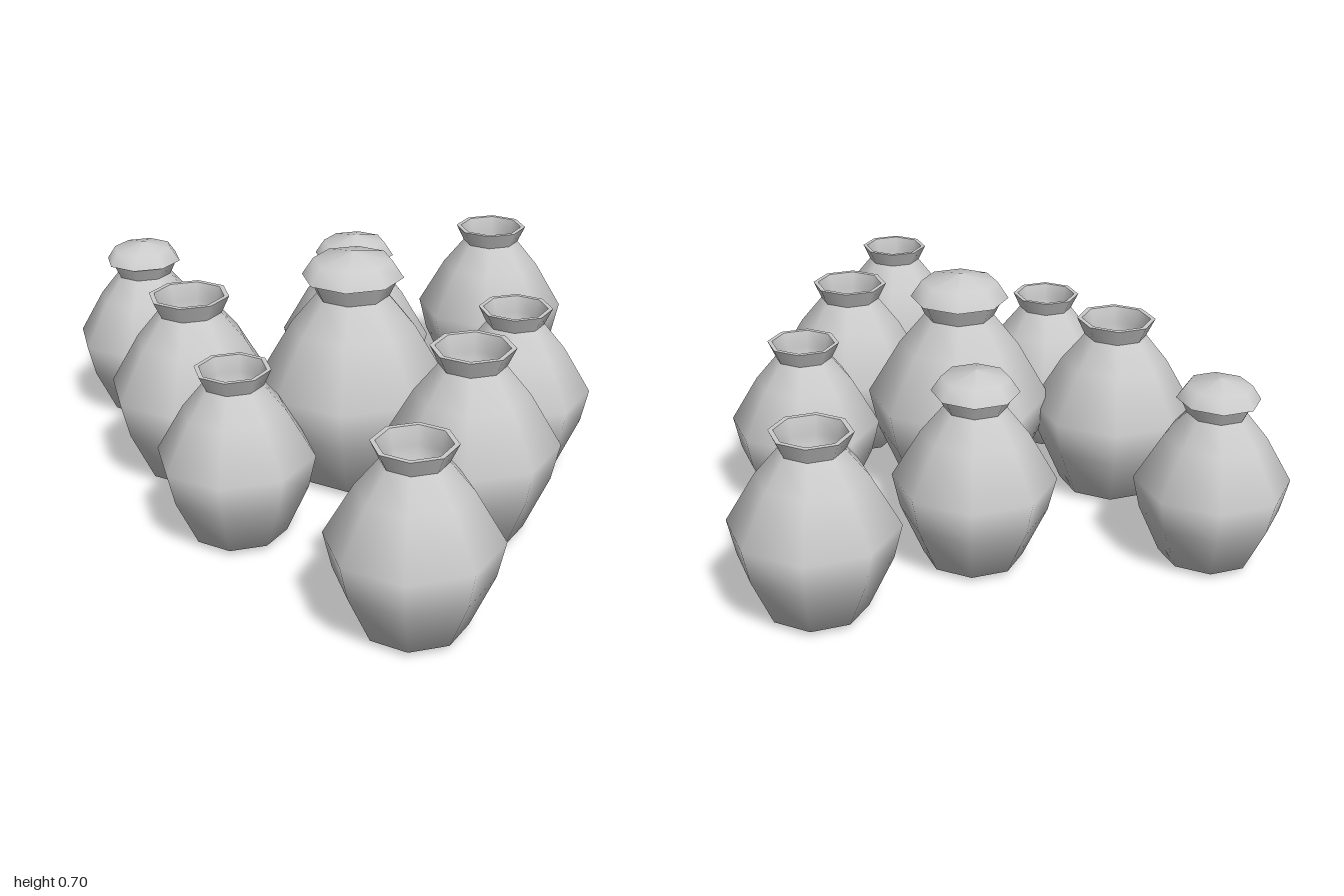
import * as THREE from 'three';

const material = new THREE.MeshStandardMaterial({ color: 0xcccccc });
const SIDES = 8;

// Turned part from [radius, height] pairs, in units of the pot's widest radius
function turned(name, profile) {
  const points = profile.map(([r, y]) => new THREE.Vector2(r, y));
  const mesh = new THREE.Mesh(new THREE.LatheGeometry(points, SIDES), material);
  mesh.name = name;
  return mesh;
}

function createPot(hasLid) {
  const pot = new THREE.Group();
  // Bulging body, from the underside up to the neck
  pot.add(turned('body', [
    [0, 0], [0.61, 0.07], [0.9, 0.7], [1, 1.13], [0.65, 1.73], [0.38, 2.06],
  ]));
  // Flared rim, its flat lip and the hollow mouth
  pot.add(turned('rim', [[0.38, 2.06], [0.48, 2.27]]));
  pot.add(turned('lip', [[0.48, 2.27], [0.42, 2.27]]));
  pot.add(turned('mouth', [[0.42, 2.27], [0.36, 2.06], [0.36, 1.7], [0, 1.6]]));
  // Low domed lid resting on the rim
  if (hasLid) {
    pot.add(turned('lidUnderside', [[0, 2.26], [0.53, 2.26]]));
    pot.add(turned('lid', [[0.53, 2.26], [0.41, 2.44], [0, 2.53]]));
  }
  return pot;
}

// x, z, widest radius, lidded
const POTS = [
  [-0.39, -0.78, 0.219, true],
  [-0.52, -0.29, 0.244, false],
  [0.115, -0.345, 0.231, true],
  [0.615, -0.26, 0.234, false],
  [-0.17, 0.025, 0.275, true],
  [-0.635, 0.11, 0.218, false],
  [0.225, 0.28, 0.223, false],
  [-0.13, 0.495, 0.242, false],
  [-0.555, 0.77, 0.225, false],
];

export function createModel() {
  const model = new THREE.Group();
  model.name = 'potCluster';
  for (const [x, z, radius, hasLid] of POTS) {
    const pot = createPot(hasLid);
    pot.name = hasLid ? 'liddedPot' : 'openPot';
    pot.position.set(x, 0, z);
    pot.scale.setScalar(radius);
    model.add(pot);
  }
  return model;
}
